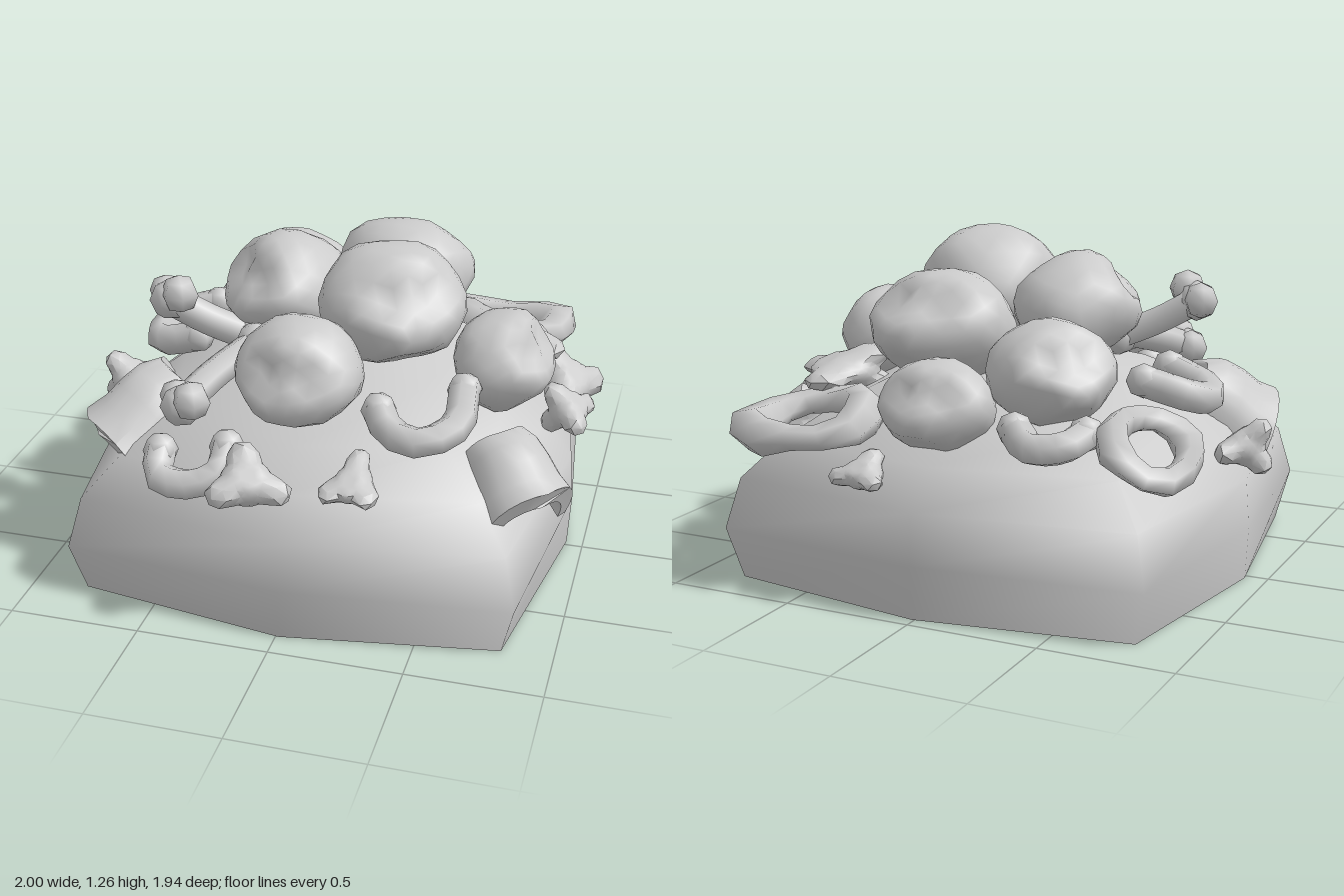
import * as THREE from 'three';
import { mergeVertices, mergeGeometries, toCreasedNormals } from 'three/addons/utils/BufferGeometryUtils.js';

const V = (x, y, z) => new THREE.Vector3(x, y, z);
const material = new THREE.MeshStandardMaterial({ color: 0xcccccc, side: THREE.DoubleSide });

function add(group, name, geometry) {
  const mesh = new THREE.Mesh(geometry, material);
  mesh.name = name;
  group.add(mesh);
}

// Move every vertex by a rule.
function reshape(geo, rule) {
  const pos = geo.attributes.position, p = V(0, 0, 0);
  for (let i = 0; i < pos.count; i++) {
    rule(p.fromBufferAttribute(pos, i));
    pos.setXYZ(i, p.x, p.y, p.z);
  }
  return geo;
}

// Scale and move a geometry into the box [x0, x1, y0, y1, z0, z1].
function fit(geo, [x0, x1, y0, y1, z0, z1]) {
  geo.computeBoundingBox();
  const s = geo.boundingBox.getSize(V(0, 0, 0));
  geo.center();
  geo.scale((x1 - x0) / s.x, (y1 - y0) / s.y, (z1 - z0) / s.z);
  geo.translate((x0 + x1) / 2, (y0 + y1) / 2, (z0 + z1) / 2);
  geo.computeVertexNormals();
  return geo;
}

const weld = (geo) => {
  geo.deleteAttribute('uv');
  geo.deleteAttribute('normal');
  return mergeVertices(geo, 1e-4);
};

// Mound: eight-sided rings bulging at the middle of each side, domed on top.
function mound() {
  const rings = [ // y, half width at the sides, half width at the corners
    [0, 0.925, 0.8], [0.2, 0.935, 0.845], [0.39, 0.92, 0.8], [0.53, 0.81, 0.68],
    [0.65, 0.66, 0.53], [0.75, 0.46, 0.36], [0.82, 0.22, 0.16],
  ];
  const dirs = [[1, 0], [1, 1], [0, 1], [-1, 1], [-1, 0], [-1, -1], [0, -1], [1, -1]];
  const pos = [], idx = [];
  rings.forEach(([y, side, corner]) => dirs.forEach(([dx, dz]) => {
    const r = dx && dz ? corner : side;
    pos.push(dx * r + 0.01, y, dz * r - 0.025);
  }));
  for (let j = 0; j < rings.length - 1; j++) {
    for (let i = 0; i < 8; i++) {
      const a = j * 8 + i, b = j * 8 + (i + 1) % 8;
      idx.push(a, a + 8, b, b, a + 8, b + 8);
    }
  }
  const top = (rings.length - 1) * 8;
  pos.push(0.01, 0.84, -0.02);
  for (let i = 0; i < 8; i++) idx.push(top + i, top + 8, top + (i + 1) % 8);
  const geo = new THREE.BufferGeometry();
  geo.setAttribute('position', new THREE.Float32BufferAttribute(pos, 3));
  geo.setIndex(idx);
  geo.computeVertexNormals();
  // Flat underside.
  const outline = new THREE.Shape(dirs.map((d, i) => new THREE.Vector2(pos[i * 3], pos[i * 3 + 2])));
  return [geo, new THREE.ShapeGeometry(outline).rotateX(Math.PI / 2)];
}

// Skull: flattened face with eye and nose hollows, narrow jaw; faces +z before turning.
function skull(box, yaw, pitch) {
  const hollows = [[V(0.42, 0, 0.9), 0.3, 0.27], [V(-0.42, 0, 0.9), 0.3, 0.27], [V(0, -0.42, 0.9), 0.16, 0.18]];
  hollows.forEach(([d]) => d.normalize());
  const geo = reshape(weld(new THREE.IcosahedronGeometry(1, 3)), (p) => {
    const n = p.clone().normalize();
    p.multiplyScalar(1 + 0.035 * Math.sin(5 * n.x + 1) * Math.sin(4 * n.y + yaw) + 0.03 * Math.sin(6 * n.z + 2 * yaw));
    p.z = Math.min(p.z, 0.84);
    hollows.forEach(([d, depth, width]) => p.addScaledVector(d, -depth * Math.exp(-((n.angleTo(d) / width) ** 2))));
    if (n.y < -0.2) {
      p.x *= 1 + (n.y + 0.2) * 0.4;
      p.y = Math.max(p.y, -0.8);
    }
  });
  geo.rotateX(pitch).rotateY(yaw);
  return fit(geo, box);
}

// Vertebra: one lumpy body with blunt lobes.
function vertebra(box, turn) {
  const lobes = [V(0, 1, 0.2), V(0.87, -0.5, 0.2), V(-0.87, -0.5, 0.2), V(0, 0.1, -1)];
  lobes.forEach((d) => d.normalize());
  const geo = reshape(weld(new THREE.IcosahedronGeometry(1, 3)), (p) => {
    const n = p.clone().normalize();
    let r = 0.62;
    lobes.forEach((d) => { r += 0.45 * Math.exp(-((n.angleTo(d) / 0.5) ** 4)); });
    p.multiplyScalar(r);
    p.z = Math.min(p.z, 0.5);
  });
  geo.rotateX(-0.9).rotateY(turn);
  return toCreasedNormals(fit(geo, box), 0.6);
}

// Curved bone along a path, with closed, slightly swollen ends.
function bone(points, radius, knob) {
  const path = new THREE.CatmullRomCurve3(points.map((p) => V(...p)));
  const ends = [0, 1].map((t) => {
    const p = path.getPoint(t);
    return new THREE.SphereGeometry(knob, 6, 4).rotateY(t + 0.4).translate(p.x, p.y, p.z);
  });
  return mergeGeometries([new THREE.TubeGeometry(path, 8, radius, 6), ...ends]);
}

// Hip ring: uneven torus lying on the slope of the mound.
function hipRing(box, tiltX, tiltZ, tube, squareness) {
  const geo = reshape(weld(new THREE.TorusGeometry(0.7, tube, 6, 12)), (p) => {
    const a = Math.atan2(p.y, p.x);
    p.multiplyScalar(1 - squareness * Math.cos(4 * a) + 0.04 * Math.sin(3 * a));
    p.z *= 1.1 + 0.4 * Math.sin(a * 2 + 0.5);
  });
  geo.rotateX(-Math.PI / 2).rotateX(tiltX).rotateZ(tiltZ);
  return fit(geo, box);
}

// Arched shell: half pipe, thick on top, flaring outward and sloping down the mound.
function arch(box, yaw) {
  const shape = new THREE.Shape();
  shape.absarc(0, 0, 1, -0.25, Math.PI + 0.25, false);
  shape.absarc(0, -0.16, 0.76, Math.PI + 0.1, -0.1, true);
  const geo = new THREE.ExtrudeGeometry(shape, { depth: 1.5, steps: 4, curveSegments: 7, bevelEnabled: false });
  reshape(geo, (p) => {
    const flare = 0.7 + 0.2 * p.z;
    const back = Math.abs(p.x) * 0.2;
    p.x *= flare;
    p.y = p.y * flare - 0.15 * p.z * p.z + 0.08 * Math.sin(4 * p.z);
    p.z -= back;
  });
  geo.rotateX(0.4).rotateY(yaw);
  return toCreasedNormals(fit(geo, box), 0.8);
}

export function createModel() {
  const model = new THREE.Group();
  const [dome, underside] = mound();
  add(model, 'mound', dome);
  add(model, 'moundUnderside', underside);

  // Skulls: box, yaw, pitch
  [
    [[-0.02, 0.52, 0.8, 1.26, -0.12, 0.42], 0.6, -0.6],
    [[-0.46, 0.02, 0.78, 1.21, -0.3, 0.26], -0.8, -0.6],
    [[-0.1, 0.45, 0.72, 1.16, -0.68, -0.12], 2.9, -0.8],
    [[-0.55, -0.08, 0.62, 1.03, -0.71, -0.27], -2.3, -0.6],
    [[-0.18, 0.25, 0.53, 0.89, -0.89, -0.5], 3.1, -0.6],
    [[-0.25, 0.22, 0.68, 1.09, 0.22, 0.73], -0.1, -0.4],
    [[0.47, 0.85, 0.62, 1.0, -0.19, 0.29], 1.4, -0.6],
  ].forEach(([box, yaw, pitch]) => add(model, 'skull', skull(box, yaw, pitch)));

  // Hip rings at the back corners
  add(model, 'hipRing', hipRing([0.25, 0.83, 0.5, 0.74, -0.95, -0.5], -0.25, -0.15, 0.27, 0.07));
  add(model, 'hipRing', hipRing([-0.89, -0.55, 0.47, 0.75, -0.78, -0.26], -0.2, 0.6, 0.26, 0.02));

  // Arched shells at the front corners
  add(model, 'archedShell', arch([-0.91, -0.44, 0.38, 0.75, 0.1, 0.66], -0.8));
  add(model, 'archedShell', arch([0.58, 0.99, 0.37, 0.7, 0.24, 0.69], 0.8));

  // Jaws
  [
    [[0.28, 0.77, 0.5], [0.34, 0.73, 0.58], [0.46, 0.72, 0.62], [0.57, 0.75, 0.52], [0.56, 0.8, 0.32]],
    [[-0.53, 0.67, -0.66], [-0.49, 0.64, -0.76], [-0.38, 0.63, -0.79], [-0.28, 0.67, -0.71]],
    [[-0.58, 0.78, -0.25], [-0.74, 0.73, -0.2], [-0.77, 0.7, -0.06], [-0.71, 0.72, 0.04], [-0.56, 0.77, 0.07]],
    [[-0.49, 0.6, 0.7], [-0.47, 0.54, 0.78], [-0.35, 0.53, 0.8], [-0.25, 0.57, 0.76], [-0.24, 0.64, 0.68]],
  ].forEach((points) => add(model, 'jaw', bone(points, 0.06, 0.066)));

  // Long bones with double knobs at the outer end
  [
    [[-0.44, 0.74, 0.6], [-0.37, 0.8, 0.45], [-0.26, 0.86, 0.25]],
    [[-0.6, 1.0, 0.25], [-0.46, 0.92, 0.22], [-0.3, 0.85, 0.18]],
  ].forEach((points) => {
    const [x, y, z] = points[0];
    add(model, 'longBone', bone(points, 0.06, 0.08));
    add(model, 'boneKnob', new THREE.SphereGeometry(0.075, 6, 4).translate(x + 0.05, y + 0.04, z + 0.03));
    add(model, 'boneKnob', new THREE.SphereGeometry(0.07, 6, 4).translate(x - 0.03, y + 0.01, z - 0.04));
  });

  // Vertebrae: box, turn
  [
    [[-0.24, 0.05, 0.48, 0.72, 0.73, 0.97], 0.4],
    [[0.14, 0.36, 0.52, 0.68, 0.6, 0.88], 0],
    [[-1.0, -0.8, 0.41, 0.62, -0.15, 0.14], 1.6],
    [[0.8, 1.0, 0.5, 0.7, -0.15, 0.13], 1.5],
    [[0.13, 0.36, 0.41, 0.57, -0.97, -0.78], 3],
    [[0.47, 0.85, 0.64, 0.83, -0.6, -0.2], 2.2],
    [[0.72, 0.99, 0.38, 0.67, -0.55, -0.17], 1.2],
  ].forEach(([box, turn]) => add(model, 'vertebra', vertebra(box, turn)));

  return model;
}
